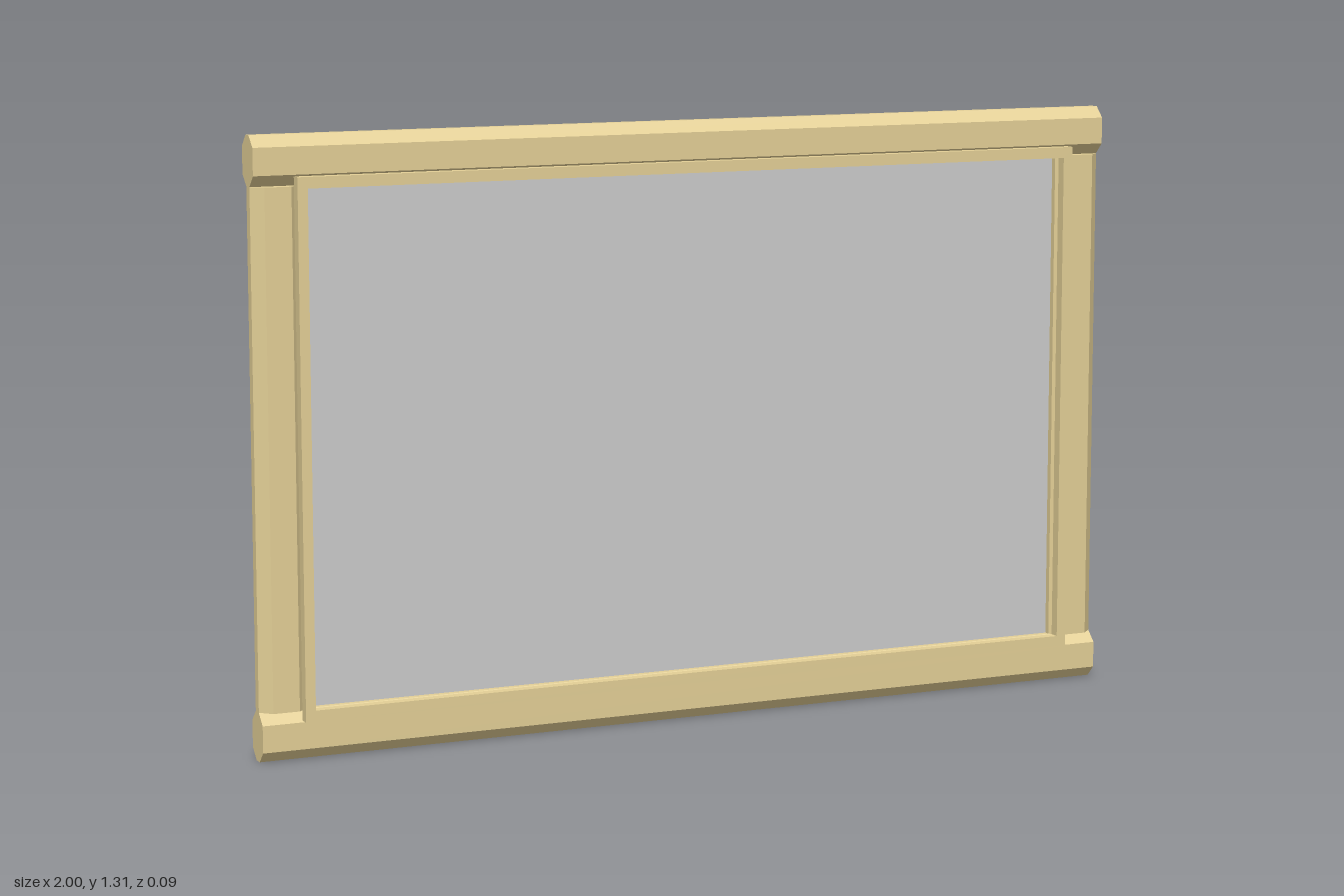
import * as THREE from 'three';

const W = 2, H = 1.311;             // overall size
const BAR = 0.106, DEPTH = 0.068;   // bar face width and thickness
const CHAMFER = 0.024;
const BAR_Z = -0.0105;              // bars sit slightly behind the centre

// Bar with an eight-sided chamfered section (w by h), extruded along z and centred
function chamferedBar(w, h, length) {
  const a = w / 2, b = h / 2, c = CHAMFER;
  const points = [
    [a, -b + c], [a, b - c], [a - c, b], [-a + c, b],
    [-a, b - c], [-a, -b + c], [-a + c, -b], [a - c, -b],
  ].map(([x, y]) => new THREE.Vector2(x, y));
  const geometry = new THREE.ExtrudeGeometry(new THREE.Shape(points), { depth: length, bevelEnabled: false });
  return geometry.translate(0, 0, -length / 2);
}

function rectangle(PathType, x, y) {
  return new PathType([[-x, -y], [x, -y], [x, y], [-x, y]].map(([px, py]) => new THREE.Vector2(px, py)));
}

export function createModel() {
  const group = new THREE.Group();
  const wood = new THREE.MeshStandardMaterial({ color: 0xe3cf96 });
  const grey = new THREE.MeshStandardMaterial({ color: 0xcccccc });

  const add = (name, geometry, material, x, y, z) => {
    const mesh = new THREE.Mesh(geometry, material);
    mesh.name = name;
    mesh.position.set(x, y, z);
    group.add(mesh);
  };

  // Full-width rails at top and bottom
  const rail = chamferedBar(DEPTH, BAR, W).rotateY(Math.PI / 2);
  add('bottomRail', rail, wood, 0, BAR / 2, BAR_Z);
  add('topRail', rail, wood, 0, H - BAR / 2, BAR_Z);

  // Side posts standing between the rails
  const post = chamferedBar(BAR, DEPTH, H - 2 * BAR).rotateX(-Math.PI / 2);
  add('leftPost', post, wood, W / 2 - BAR / 2, H / 2, BAR_Z);
  add('rightPost', post, wood, -W / 2 + BAR / 2, H / 2, BAR_Z);

  // Thin trim frame on the front
  const trim = rectangle(THREE.Shape, 0.912, 0.57);
  trim.holes.push(rectangle(THREE.Path, 0.89, 0.546));
  const trimGeometry = new THREE.ExtrudeGeometry(trim, { depth: 0.023, bevelEnabled: false });
  add('trimFrame', trimGeometry, wood, 0, H / 2, 0.0215);

  // Panel filling the opening, from the back to mid depth
  add('panel', new THREE.BoxGeometry(1.822, 1.134, 0.026), grey, 0, H / 2, -0.027);

  return group;
}
